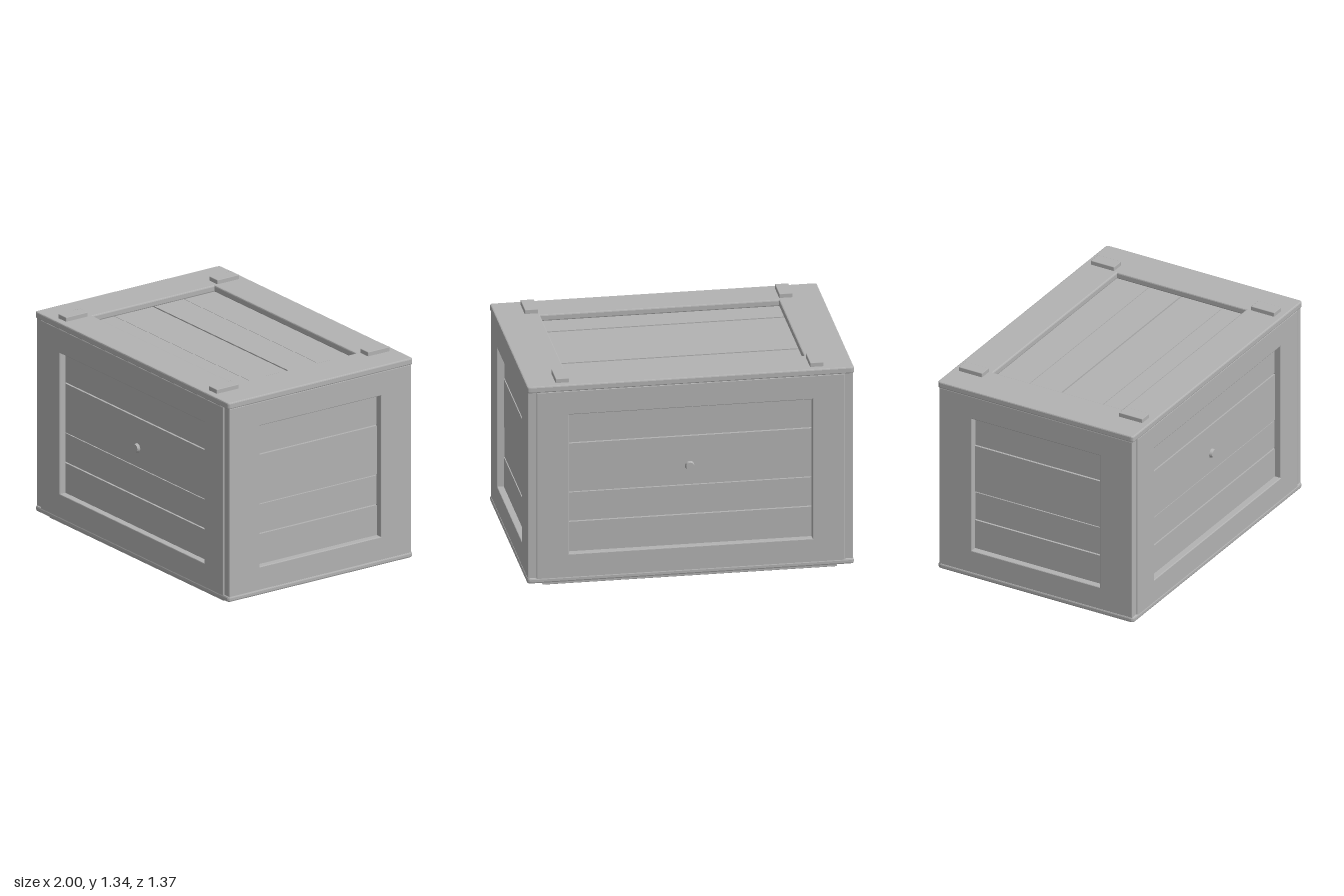
import * as THREE from 'three';
import { RoundedBoxGeometry } from 'three/addons/geometries/RoundedBoxGeometry.js';

const grey = new THREE.MeshStandardMaterial({ color: 0xb2b2b2 });
grey.name = 'plain grey';

const TOP = 1.315, FRONT = 0.685, SIDE = 0.995;

function mesh(name, geometry, x = 0, y = 0, z = 0) {
  const m = new THREE.Mesh(geometry, grey);
  m.name = name;
  m.position.set(x, y, z);
  return m;
}

function rectangle(Type, [x0, x1, y0, y1], r) {
  const p = new Type();
  p.moveTo(x0 + r, y0).lineTo(x1 - r, y0);
  if (r) p.quadraticCurveTo(x1, y0, x1, y0 + r);
  p.lineTo(x1, y1 - r);
  if (r) p.quadraticCurveTo(x1, y1, x1 - r, y1);
  p.lineTo(x0 + r, y1);
  if (r) p.quadraticCurveTo(x0, y1, x0, y1 - r);
  p.lineTo(x0, y0 + r);
  if (r) p.quadraticCurveTo(x0, y0, x0 + r, y0);
  return p;
}

// Frame with a rectangular opening; its outer face lies at z = 0
function frame(name, outer, hole, depth, bevel, radius = 0) {
  const shape = rectangle(THREE.Shape, outer, radius);
  // the opening is shrunk by nothing: bevelOffset keeps the outline true
  shape.holes.push(rectangle(THREE.Path, hole, 0));
  const geometry = new THREE.ExtrudeGeometry(shape, {
    depth: depth - 2 * bevel, bevelThickness: bevel, bevelSize: bevel,
    bevelOffset: -bevel, bevelSegments: 2, curveSegments: 4,
  });
  return mesh(name, geometry, 0, 0, bevel - depth);
}

// Recessed planks separated by narrow grooves, with a backing sheet
function planks([x0, x1, y0, y1], seams, recess) {
  const g = new THREE.Group();
  g.name = 'planks';
  const edges = [y0 - 0.02, ...seams, y1 + 0.02], w = x1 - x0 + 0.04, cx = (x0 + x1) / 2;
  for (let i = 0; i < edges.length - 1; i++) {
    const h = edges[i + 1] - edges[i] - 0.007;
    const step = (i % 2) * 0.003;
    g.add(mesh('plank', new THREE.BoxGeometry(w, h, 0.02),
      cx, (edges[i] + edges[i + 1]) / 2, -recess - 0.01 - step));
  }
  g.add(mesh('backing', new THREE.BoxGeometry(w, y1 - y0 + 0.04, 0.01), cx, (y0 + y1) / 2, -recess - 0.022));
  return g;
}

function wall(name, outer, hole, seams) {
  const g = new THREE.Group();
  g.name = name;
  g.add(frame('wallFrame', outer, hole, 0.055, 0.005), planks(hole, seams, 0.042));
  return g;
}

export function createModel() {
  const model = new THREE.Group();
  model.name = 'crate';
  const wallSeams = [0.41, 0.6, 0.92];

  // Front and back walls, each with a small round stud
  for (const s of [1, -1]) {
    const w = wall(s > 0 ? 'frontWall' : 'backWall', [-0.943, 0.943, 0.05, 1.275], [-0.745, 0.745, 0.215, 1.12], wallSeams);
    const stud = mesh('stud', new THREE.CylinderGeometry(0.024, 0.03, 0.02, 16), 0, 0.725, -0.034);
    stud.rotation.x = Math.PI / 2;
    w.add(stud);
    w.position.z = s * FRONT;
    w.rotation.y = s > 0 ? 0 : Math.PI;
    model.add(w);
  }

  // Side walls, whose ends show as the corner strips
  for (const s of [1, -1]) {
    const w = wall(s > 0 ? 'leftWall' : 'rightWall', [-0.677, 0.677, 0.05, 1.275], [-0.45, 0.45, 0.215, 1.12], wallSeams);
    w.position.x = s * SIDE;
    w.rotation.y = s * Math.PI / 2;
    model.add(w);
  }

  // Lid with its sunken planks
  const opening = [-0.73, 0.73, -0.45, 0.455];
  const lid = new THREE.Group();
  lid.name = 'lid';
  lid.add(frame('lidFrame', [-1, 1, -0.687, 0.687], opening, 0.042, 0.008, 0.02),
    planks(opening, [-0.28, 0.01, 0.235], 0.042));
  lid.rotation.x = -Math.PI / 2;
  lid.position.y = TOP;
  model.add(lid);

  // Base tray and the plinth frame under it
  const base = new THREE.Group();
  base.name = 'base';
  base.add(frame('baseTray', [-1, 1, -0.687, 0.687], opening, 0.035, 0.01, 0.025));
  const plinth = frame('plinth', [-0.9, 0.9, -0.65, 0.65], opening, 0.03, 0.003);
  plinth.position.z += 0.025;
  base.add(plinth, mesh('floor', new THREE.BoxGeometry(1.86, 1.25, 0.02), 0, 0, -0.03));
  base.rotation.x = Math.PI / 2;
  base.position.y = 0.035;
  model.add(base);

  // Corner blocks on the lid and small studs beneath
  for (const x of [-1, 1]) {
    for (const z of [-1, 1]) {
      model.add(mesh('lidBlock', new RoundedBoxGeometry(0.083, 0.04, 0.163, 1, 0.004),
        x * 0.778, 1.322, z * 0.562));
      model.add(mesh('footStud', new THREE.CylinderGeometry(0.022, 0.014, 0.012, 12),
        x * 0.265, 0.006, z * 0.58));
    }
  }
  return model;
}
